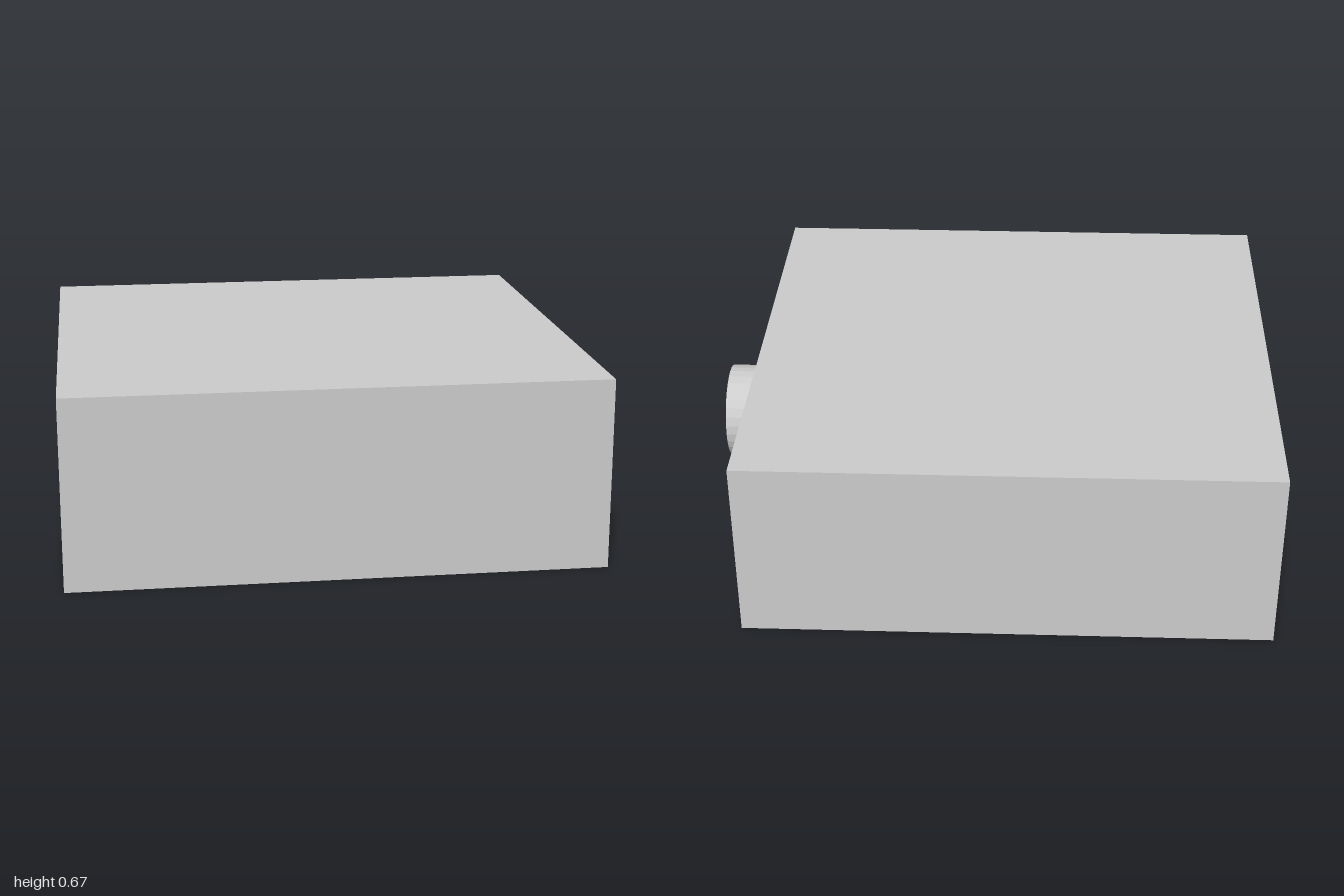
import * as THREE from 'three';

export function createModel() {
  const group = new THREE.Group();
  const material = new THREE.MeshStandardMaterial({ color: 0xcccccc, flatShading: true });

  // Main rectangular block
  const body = new THREE.Mesh(new THREE.BoxGeometry(1.86, 0.67, 1.77), material);
  body.name = 'body';
  body.position.set(-0.07, 0.335, 0);
  group.add(body);

  // Short round stub on the left side, facing +x
  const stub = new THREE.Mesh(new THREE.CylinderGeometry(0.172, 0.172, 0.14, 32), material);
  stub.name = 'sideStub';
  stub.rotation.z = -Math.PI / 2;
  stub.position.set(0.93, 0.344, -0.004);
  group.add(stub);

  return group;
}
